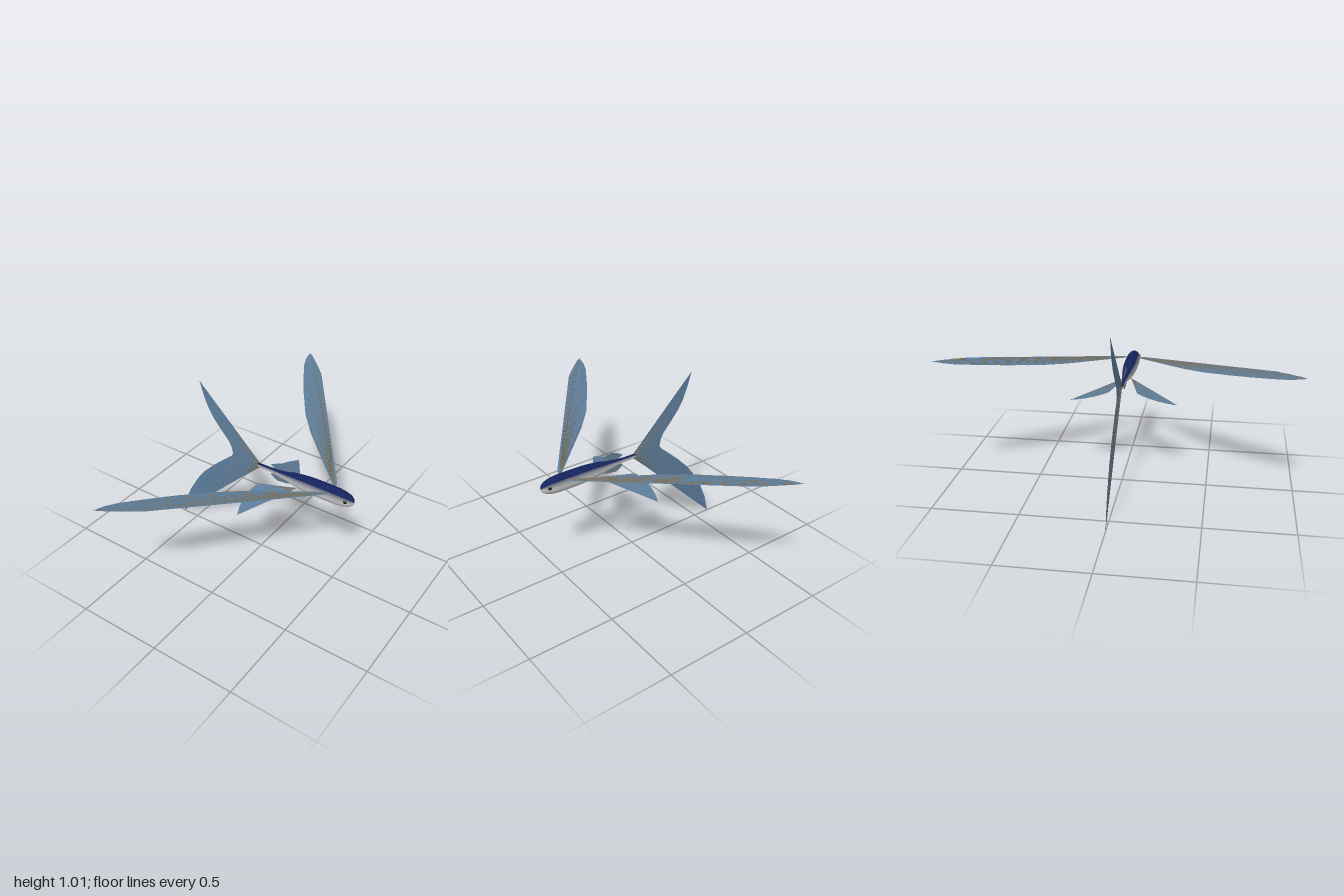
import * as THREE from 'three';

const FIN = 0x5a7fa3, RAY = 0x7d7460;
const mat = (color, side = THREE.FrontSide) => new THREE.MeshStandardMaterial({ color, side });
const finMat = mat(FIN, THREE.DoubleSide);
const rayMat = mat(RAY);

// Flat membrane from a 2D outline, placed in space by a mapping rule, with thin rays fanning from its root.
// outline[0] is the root; the points from rayFrom to rayTo are the outer edge.
function makeFin(name, outline, place, rayFrom, rayTo, rayCount) {
  const fin = new THREE.Group();
  fin.name = name;
  const pts = outline.map(([u, v]) => new THREE.Vector2(u, v));
  const geo = new THREE.ShapeGeometry(new THREE.Shape(pts));
  const pos = geo.attributes.position;
  for (let i = 0; i < pos.count; i++) {
    pos.setXYZ(i, ...place(pos.getX(i), pos.getY(i)));
  }
  geo.computeVertexNormals();
  const membrane = new THREE.Mesh(geo, finMat);
  membrane.name = name + 'Membrane';
  fin.add(membrane);

  const edge = pts.slice(rayFrom, rayTo + 1);
  const root = new THREE.Vector3(...place(pts[0].x, pts[0].y));
  for (let i = 0; i < rayCount; i++) {
    const t = (i + 0.5) / rayCount * (edge.length - 1);
    const k = Math.floor(t);
    const p = edge[k].clone().lerp(edge[k + 1], t - k);
    const tip = new THREE.Vector3(...place(p.x, p.y));
    const ray = new THREE.Mesh(
      new THREE.TubeGeometry(new THREE.LineCurve3(root, tip), 1, 0.0009, 4), rayMat);
    ray.name = 'finRay';
    fin.add(ray);
  }
  return fin;
}

// Body of revolution split lengthwise into colour bands, dark back to pale belly
function makeBody() {
  const body = new THREE.Group();
  body.name = 'body';
  const profile = [
    [-0.028, 0], [-0.026, 0.008], [-0.015, 0.013], [0.05, 0.0135], [0.1, 0.018], [0.16, 0.028],
    [0.22, 0.038], [0.28, 0.046], [0.34, 0.05], [0.42, 0.051], [0.5, 0.05], [0.54, 0.045],
    [0.57, 0.036], [0.59, 0.023], [0.597, 0.012], [0.6, 0],
  ].map(([x, r]) => new THREE.Vector2(r, x));
  const back = new THREE.Color(0x14235c), belly = new THREE.Color(0xc8c8c8);
  const limits = [0, 52, 60, 68, 76, 84, 92, 180];
  const bands = limits.length - 1;
  for (let i = 0; i < bands; i++) {
    const color = back.clone().lerp(belly, i / (bands - 1));
    const span = limits[i + 1] - limits[i];
    for (const start of [limits[i], -limits[i + 1]]) {
      const geo = new THREE.LatheGeometry(profile, Math.max(2, Math.round(span / 9)),
        THREE.MathUtils.degToRad(start - 90), THREE.MathUtils.degToRad(span));
      geo.rotateZ(-Math.PI / 2);
      geo.scale(1, 1, 0.82);
      geo.translate(0, 0.595, 0);
      const band = new THREE.Mesh(geo, mat(color));
      band.name = i === 0 ? 'back' : i === bands - 1 ? 'belly' : 'flank';
      body.add(band);
    }
  }
  return body;
}

function makeEye(side) {
  const eye = new THREE.Group();
  eye.name = side > 0 ? 'leftEye' : 'rightEye';
  const iris = new THREE.Mesh(new THREE.SphereGeometry(0.012, 20, 14), mat(0x6b6248));
  iris.name = 'iris';
  iris.scale.z = 0.6;
  const pupil = new THREE.Mesh(new THREE.SphereGeometry(0.008, 16, 12), mat(0x0a0a0a));
  pupil.name = 'pupil';
  pupil.scale.z = 0.6;
  pupil.position.z = side * 0.0035;
  eye.add(iris, pupil);
  eye.position.set(0.56, 0.602, side * 0.031);
  eye.rotation.y = side * 0.3;
  return eye;
}

export function createModel() {
  const model = new THREE.Group();
  model.name = 'flyingFish';
  model.add(makeBody());

  // Forked tail, lower lobe longer
  const upright = (x, y) => [x, y, 0];
  model.add(makeFin('tailFin', [
    [0.005, 0.597], [-0.015, 0.615], [-0.424, 1.012], [-0.395, 0.92], [-0.365, 0.85], [-0.335, 0.8],
    [-0.28, 0.735], [-0.225, 0.675], [-0.208, 0.64], [-0.2, 0.6], [-0.215, 0.578], [-0.26, 0.54],
    [-0.34, 0.468], [-0.42, 0.386], [-0.48, 0.305], [-0.54, 0.2], [-0.578, 0.11], [-0.605, 0],
    [-0.015, 0.58],
  ], upright, 2, 17, 26));

  // Small back and underside fins
  model.add(makeFin('dorsalFin', [
    [0.21, 0.61], [0.2, 0.635], [0.185, 0.656], [0.14, 0.666], [0.1, 0.65], [0.062, 0.63], [0.115, 0.605],
  ], upright, 2, 5, 8));
  model.add(makeFin('analFin', [
    [0.21, 0.58], [0.2, 0.556], [0.17, 0.543], [0.11, 0.536], [0.085, 0.548], [0.062, 0.566], [0.115, 0.587],
  ], upright, 2, 5, 8));

  for (const side of [1, -1]) {
    const label = side > 0 ? 'left' : 'right';
    // Long raised wing fins
    model.add(makeFin(label + 'PectoralFin', [
      [0.47, 0.025], [0.455, 0.065], [-0.12, 0.845], [-0.2, 0.92], [-0.27, 0.98], [-0.302, 1],
      [-0.292, 0.935], [-0.265, 0.87], [-0.2, 0.76], [-0.12, 0.635], [0, 0.465], [0.12, 0.335], [0.44, 0.04],
    ], (x, z) => [x, 0.625 + 0.177 * (z - 0.04), side * z], 2, 11, 22));
    // Shorter drooping fins behind
    model.add(makeFin(label + 'PelvicFin', [
      [0.25, 0.02], [0.235, 0.05], [0.055, 0.317], [0.034, 0.265], [0.021, 0.21], [0.02, 0.155],
      [0.028, 0.11], [0.042, 0.082],
    ], (x, z) => [x, 0.562 - 0.28 * z, side * z], 2, 7, 14));
    model.add(makeEye(side));
  }
  return model;
}
